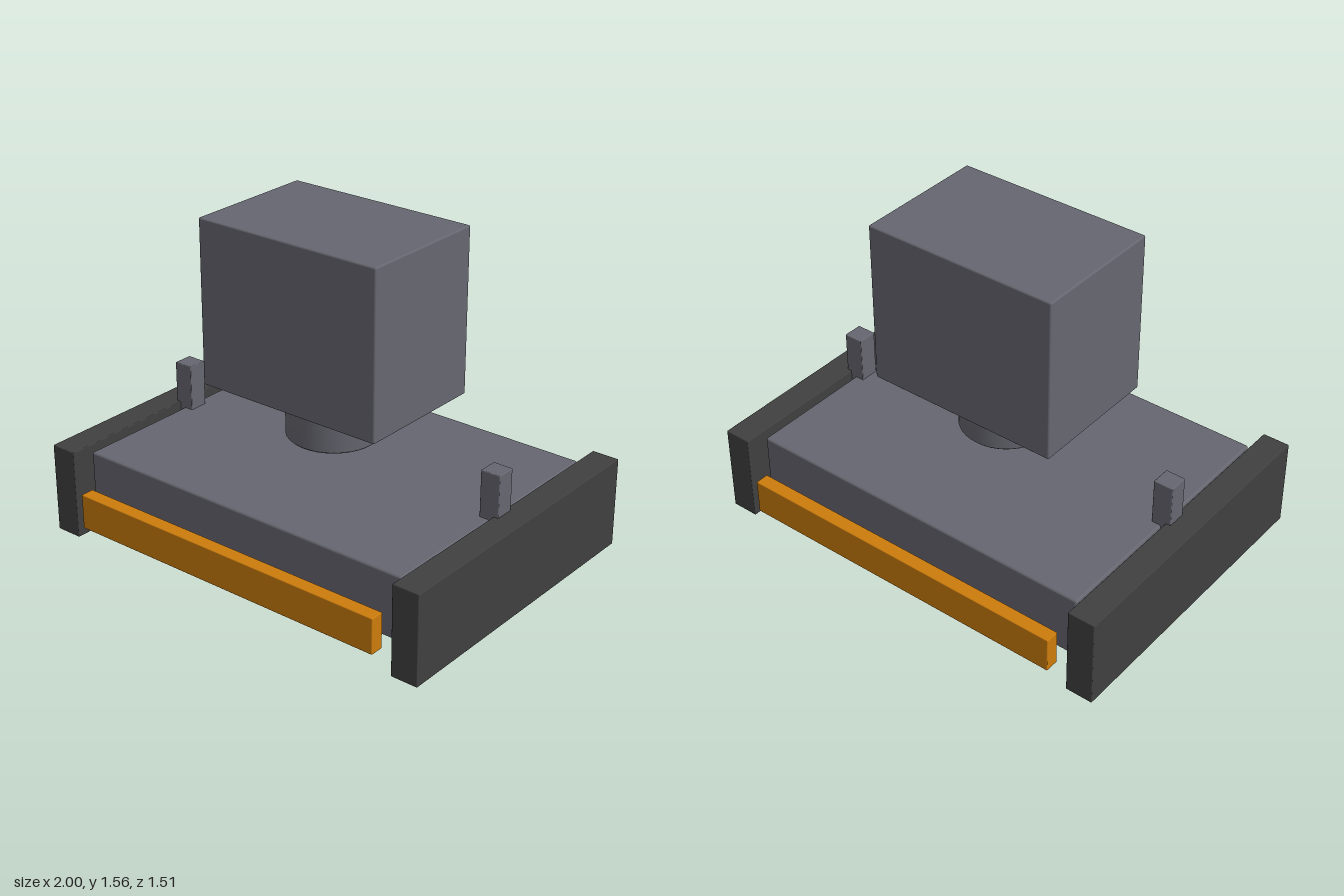
import * as THREE from 'three';
import { RoundedBoxGeometry } from 'three/addons/geometries/RoundedBoxGeometry.js';

export function createModel() {
  const model = new THREE.Group();
  model.name = 'trackedRobot';

  const material = (name, color) => {
    const m = new THREE.MeshStandardMaterial({ color });
    m.name = name;
    return m;
  };
  const grey = material('slateGrey', 0x666670);
  const dark = material('charcoal', 0x404040);
  const orange = material('bumperOrange', 0xcc7c0c);

  const add = (name, geometry, mat, x, y, z, parent = model) => {
    const mesh = new THREE.Mesh(geometry, mat);
    mesh.name = name;
    mesh.position.set(x, y, z);
    parent.add(mesh);
    return mesh;
  };
  // Box given by its extents, with an optional small edge radius
  const block = (name, mat, [x0, x1], [y0, y1], [z0, z1], r = 0, parent = model) => {
    const size = [x1 - x0, y1 - y0, z1 - z0];
    const geometry = r
      ? new RoundedBoxGeometry(...size, 2, r)
      : new THREE.BoxGeometry(...size);
    return add(name, geometry, mat, (x0 + x1) / 2, (y0 + y1) / 2, (z0 + z1) / 2, parent);
  };

  // Chassis
  block('chassis', grey, [-0.85, 0.85], [0.185, 0.48], [-0.635, 0.635], 0.01);

  // Head floating on a short neck with a softened lower rim
  block('head', grey, [-0.465, 0.465], [0.805, 1.565], [-0.317, 0.317], 0.008);
  const neckProfile = [[0, 0.595], [0.2, 0.595], [0.21, 0.605], [0.21, 0.81]]
    .map(([r, y]) => new THREE.Vector2(r, y));
  const neckGeometry = new THREE.LatheGeometry(neckProfile, 40);
  add('neck', neckGeometry, grey, 0, 0, 0);

  // Front and back bumpers
  block('frontBumper', orange, [-0.803, 0.803], [0.168, 0.333], [0.69, 0.755], 0.004);
  block('backBumper', orange, [-0.803, 0.803], [0.168, 0.333], [-0.758, -0.693], 0.004);

  // Side tracks and the small linkage beside each one
  for (const [side, s] of [['left', 1], ['right', -1]]) {
    const span = (a, b) => (s > 0 ? [a, b] : [-b, -a]);
    block(side + 'Track', dark, span(0.872, 1), [0.083, 0.502], [-0.723, 0.723], 0.004);

    const linkage = new THREE.Group();
    linkage.name = side + 'Linkage';
    model.add(linkage);
    block('post', grey, span(0.803, 0.896), [0.31, 0.695], [-0.047, 0.045], 0.004, linkage);
    block('joint', grey, span(0.803, 0.896), [0.14, 0.272], [-0.065, 0.06], 0, linkage);
    block('lowerJoint', grey, span(0.803, 0.896), [0.065, 0.13], [-0.05, 0.05], 0, linkage);
    // Pair of thin prongs at the bottom
    block('innerProng', grey, span(0.803, 0.817), [0, 0.052], [-0.043, 0.043], 0, linkage);
    block('outerProng', grey, span(0.884, 0.897), [0, 0.052], [-0.043, 0.043], 0, linkage);
  }

  return model;
}
